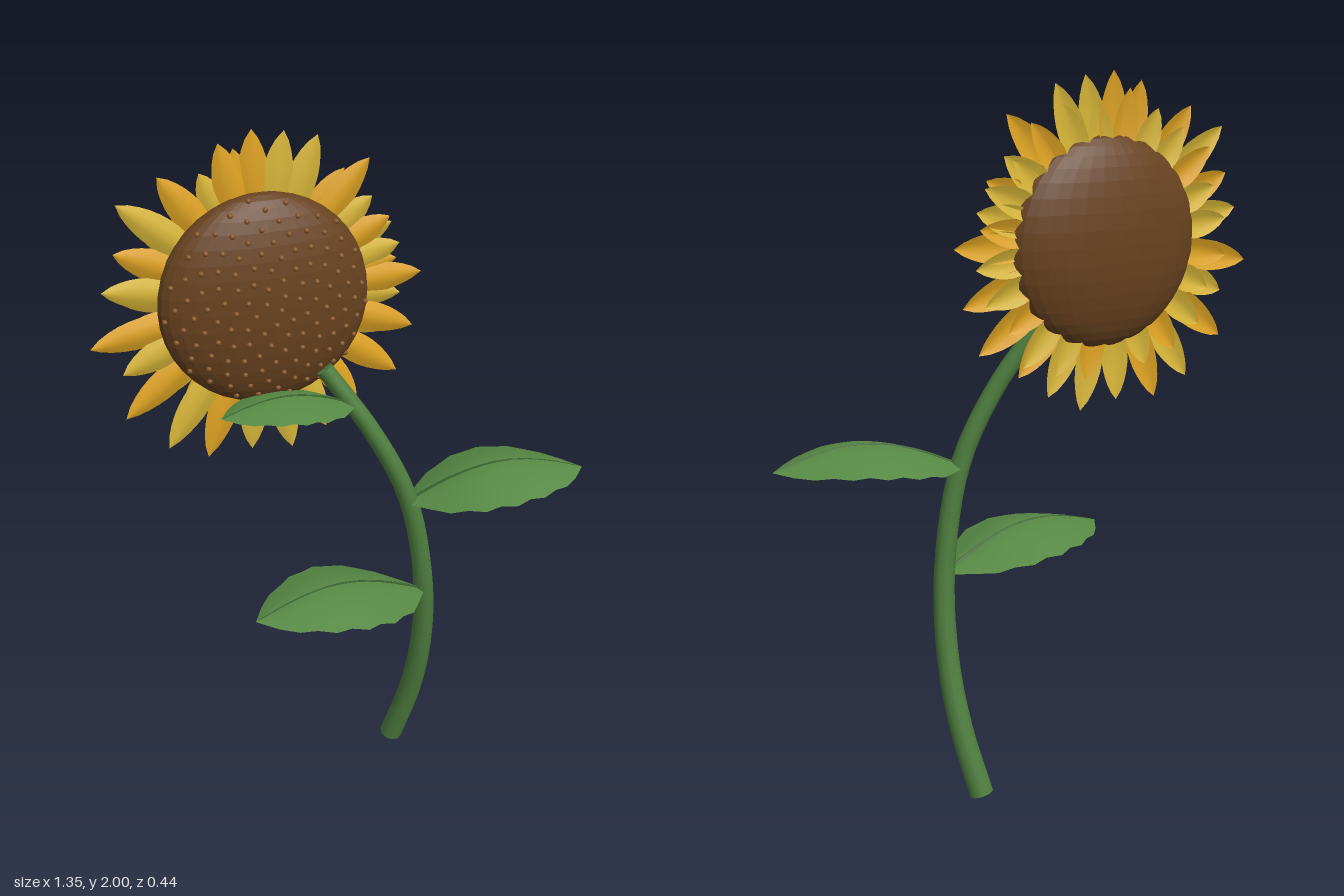
import * as THREE from 'three';

const V = (x, y, z) => new THREE.Vector3(x, y, z);
const mat = (name, color, opts = {}) => {
  const m = new THREE.MeshStandardMaterial({ color, ...opts });
  m.name = name;
  return m;
};

// Curved blade from base to tip: arched along its length, bent down at the sides
function bladeGeometry({ base, tip, up, halfWidth, arch, droop, profile, nu, nv }) {
  const geo = new THREE.PlaneGeometry(1, 2, nu, nv);
  const pos = geo.attributes.position;
  const side = V(0, 0, 0).crossVectors(up, tip.clone().sub(base)).normalize();
  for (let i = 0; i < pos.count; i++) {
    const u = pos.getX(i) + 0.5, v = pos.getY(i);
    const w = profile(u);
    const p = base.clone().lerp(tip, u)
      .addScaledVector(side, v * w * halfWidth)
      .addScaledVector(up, arch * Math.sin(Math.PI * u) - droop * w * Math.abs(v) ** 1.4);
    pos.setXYZ(i, p.x, p.y, p.z);
  }
  geo.computeVertexNormals();
  return geo;
}

// Tube whose radius shrinks from r0 to r1, closed at both ends
function taperedTube(points, r0, r1, rings, sides, material, name) {
  const curve = new THREE.CatmullRomCurve3(points);
  const group = new THREE.Group();
  group.name = name;
  const geo = new THREE.TubeGeometry(curve, rings, 1, sides);
  const pos = geo.attributes.position;
  for (let i = 0; i < pos.count; i++) {
    const t = Math.floor(i / (sides + 1)) / rings;
    const c = curve.getPointAt(t);
    const p = V(0, 0, 0).fromBufferAttribute(pos, i).sub(c)
      .multiplyScalar(r0 + (r1 - r0) * t).add(c);
    pos.setXYZ(i, p.x, p.y, p.z);
  }
  const tube = new THREE.Mesh(geo, material);
  tube.name = name + 'Tube';
  group.add(tube);
  for (const [t, r, s] of [[0, r0, -1], [1, r1, 1]]) {
    const cap = new THREE.Mesh(new THREE.CircleGeometry(r, sides), material);
    cap.name = name + 'Cap';
    cap.position.copy(curve.getPointAt(t));
    cap.quaternion.setFromUnitVectors(V(0, 0, 1), curve.getTangentAt(t).multiplyScalar(s));
    group.add(cap);
  }
  return group;
}

export function createModel() {
  const model = new THREE.Group();
  model.name = 'sunflower';
  const stemGreen = mat('stemGreen', 0x4f7f3f);
  const leafGreen = mat('leafGreen', 0x588a45, { side: THREE.DoubleSide });
  const ribGreen = mat('ribGreen', 0x3d6630);
  const discBrown = mat('discBrown', 0x68421f, { flatShading: true });
  const seedBrown = mat('seedBrown', 0x85572a);
  const petalOrange = mat('petalOrange', 0xdea322, { side: THREE.DoubleSide });
  const petalYellow = mat('petalYellow', 0xd8b638, { side: THREE.DoubleSide });

  // Stem
  model.add(taperedTube([
    V(0.17, 0.008, -0.135), V(0.205, 0.2, -0.08), V(0.22, 0.4, -0.033), V(0.21, 0.65, 0.002),
    V(0.155, 0.95, 0.006), V(0.06, 1.16, -0.02), V(-0.065, 1.355, -0.072),
  ], 0.035, 0.024, 28, 10, stemGreen, 'stem'));

  // Leaves with a saw-toothed edge and a thin midrib
  const leafSteps = 12;
  const leafProfile = (u) => {
    const tooth = Math.round(u * leafSteps) % 2 ? 0.95 : 1.02;
    return u > 0.999 ? 0 : Math.max(0.12, Math.sin(Math.PI * u ** 0.92) ** 0.72) * tooth;
  };
  const leaves = [
    ['lowerLeaf', V(0.195, 0.645, 0.01), V(-0.325, 0.685, 0.07), 0.18, 0.07, 0.045],
    ['middleLeaf', V(0.155, 0.95, 0.01), V(0.672, 0.99, 0.07), 0.18, 0.07, 0.045],
    ['upperLeaf', V(0.005, 1.255, -0.04), V(-0.375, 1.287, -0.005), 0.125, 0.045, 0.03],
  ];
  for (const [name, base, tip, halfWidth, arch, droop] of leaves) {
    const leaf = new THREE.Group();
    leaf.name = name;
    const blade = new THREE.Mesh(bladeGeometry({
      base, tip, up: V(0, 1, 0), halfWidth, arch, droop,
      profile: leafProfile, nu: leafSteps, nv: 6,
    }), leafGreen);
    blade.name = name + 'Blade';
    const ribPoints = [0, 0.25, 0.5, 0.75, 0.98].map((u) =>
      base.clone().lerp(tip, u).add(V(0, arch * Math.sin(Math.PI * u), 0)));
    leaf.add(blade, taperedTube(ribPoints, 0.005, 0.0015, 12, 5, ribGreen, name + 'Midrib'));
    model.add(leaf);
  }

  // Flower head: flattened ball
  const head = new THREE.Group();
  head.name = 'flowerHead';
  head.position.set(-0.21, 1.555, -0.125);
  model.add(head);
  const R = 0.287, D = 0.094;
  const disc = new THREE.Mesh(new THREE.SphereGeometry(R, 32, 20), discBrown);
  disc.name = 'disc';
  disc.scale.z = D / R;
  head.add(disc);

  // Seeds in a spiral over the front of the disc
  const seedCount = 130;
  const seedGeo = new THREE.IcosahedronGeometry(0.0075, 1);
  for (let i = 0; i < seedCount; i++) {
    const s = 0.97 * Math.sqrt((i + 0.5) / seedCount), a = i * 2.39996;
    const seed = new THREE.Mesh(seedGeo, seedBrown);
    seed.name = 'seed';
    seed.position.set(R * s * Math.cos(a), R * s * Math.sin(a), D * Math.sqrt(1 - s * s));
    head.add(seed);
  }

  // Petals: an uneven outer ring over a shorter inner ring
  const petalProfile = (u) => Math.max(0, Math.sin(Math.PI * u)) ** 0.75;
  const addPetal = (name, degrees, length, z, material, halfWidth) => {
    const a = THREE.MathUtils.degToRad(degrees);
    const at = (r, pz) => V(r * Math.cos(a), r * Math.sin(a), pz);
    const petal = new THREE.Mesh(bladeGeometry({
      base: at(0.19, z), tip: at(length, z), up: V(0, 0, 1), halfWidth,
      arch: 0.006, droop: 0.014, profile: petalProfile, nu: 10, nv: 4,
    }), material);
    petal.name = name;
    head.add(petal);
  };
  // angle, tip radius, 1 = orange
  const outer = [
    [2, 0.45, 1], [15, 0.40, 0], [27, 0.40, 1], [38, 0.39, 0], [49, 0.455, 1], [69, 0.445, 0],
    [81, 0.44, 0], [92, 0.445, 1], [104, 0.43, 1], [127, 0.435, 1], [142, 0.47, 0], [157, 0.42, 1],
    [171, 0.43, 0], [190, 0.472, 1], [203, 0.42, 0], [217, 0.485, 1], [235, 0.485, 0], [249, 0.475, 1],
    [264, 0.44, 0], [279, 0.46, 0], [293, 0.44, 0], [308, 0.43, 1], [325, 0.465, 1], [342, 0.45, 1],
  ];
  outer.forEach(([deg, len, orange], i) =>
    addPetal('outerPetal', deg, len, -0.013 - 0.003 * (i % 2), orange ? petalOrange : petalYellow, 0.042));
  for (let i = 0; i < 24; i++) {
    addPetal('innerPetal', 15 * i + 9, 0.385 + 0.02 * Math.sin(i * 2.3), -0.022,
      i % 3 ? petalYellow : petalOrange, 0.038);
  }
  return model;
}
